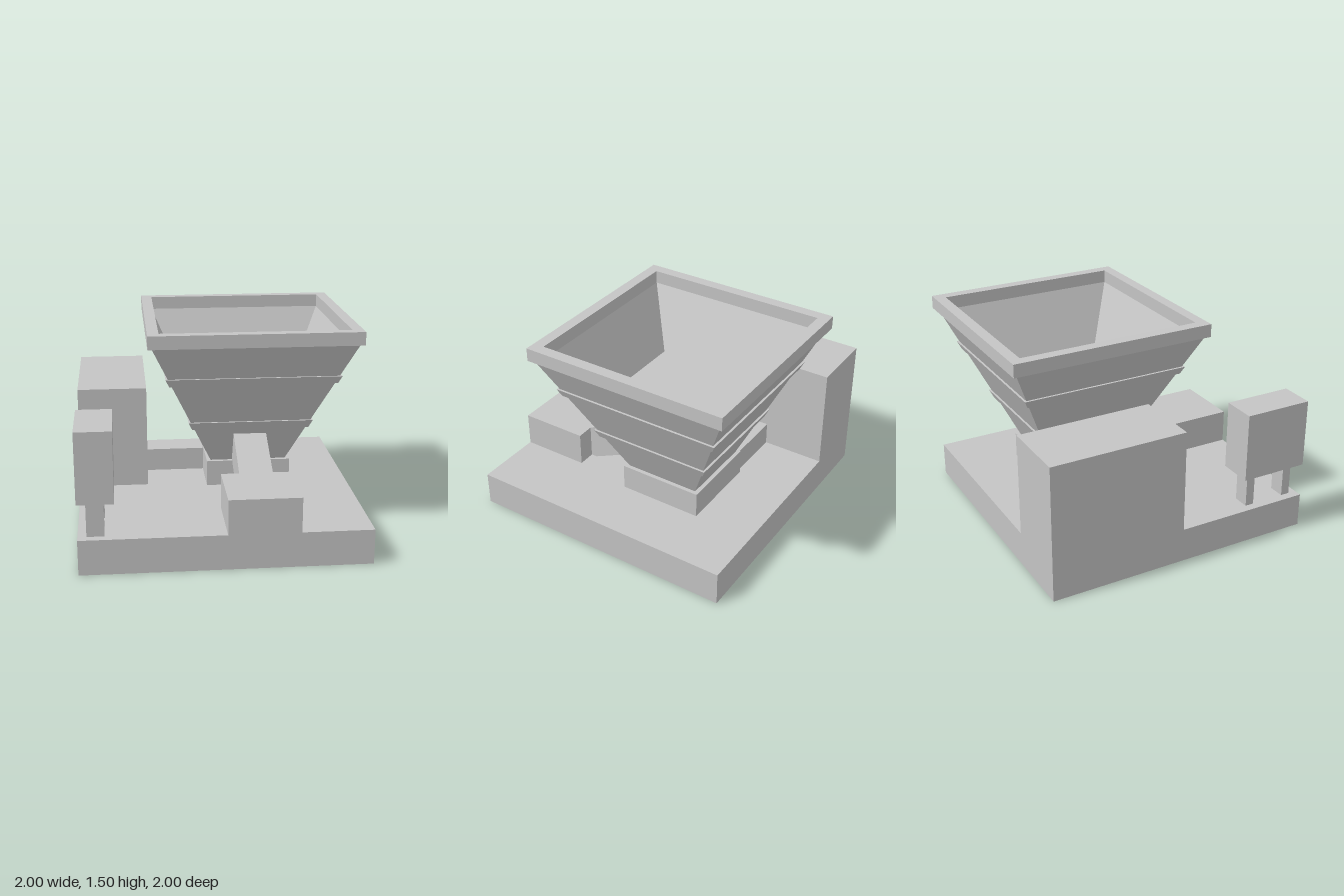
import * as THREE from 'three';

export function createModel() {
  const model = new THREE.Group();
  model.name = 'hopperPlant';
  const grey = new THREE.MeshStandardMaterial({ color: 0xc4c4c4 });
  grey.name = 'concreteGrey';

  function add(name, geometry, parent = model) {
    const mesh = new THREE.Mesh(geometry, grey);
    mesh.name = name;
    parent.add(mesh);
    return mesh;
  }

  // Box given by its lower and upper corners
  function box(name, [x0, y0, z0], [x1, y1, z1], parent) {
    const geometry = new THREE.BoxGeometry(x1 - x0, y1 - y0, z1 - z0);
    geometry.translate((x0 + x1) / 2, (y0 + y1) / 2, (z0 + z1) / 2);
    return add(name, geometry, parent);
  }

  // Square turned form: profile of [half width, height], flat faces
  function square(name, profile, parent) {
    const points = profile.map(([h, y]) => new THREE.Vector2(h * Math.SQRT2, y));
    const geometry = new THREE.LatheGeometry(points, 4, Math.PI / 4).toNonIndexed();
    geometry.computeVertexNormals();
    return add(name, geometry, parent);
  }

  // Ground slab and the solid blocks on it
  box('baseSlab', [-1, 0, -1], [1, 0.25, 1]);
  box('tower', [-1, 0.25, -1], [-0.5, 1, 0]);
  box('outletBlock', [0, 0.25, 0.5], [0.5, 0.5, 1]);
  box('pedestal', [-0.06, 0.25, -0.56], [0.56, 0.44, 0.06]);
  box('connectingDuct', [-0.5, 0.25, -0.54], [-0.06, 0.42, -0.31]);

  // Cabinet on two legs
  const cabinet = new THREE.Group();
  cabinet.name = 'cabinet';
  model.add(cabinet);
  box('cabinetBody', [-1, 0.5, 0.5], [-0.75, 1, 1], cabinet);
  for (const z of [0.56, 0.875]) {
    box('cabinetLeg', [-0.94, 0.25, z], [-0.82, 0.5, z + 0.065], cabinet);
  }

  // Hopper: tapered walls, two bands and a square rim
  const hopper = new THREE.Group();
  hopper.name = 'hopper';
  hopper.position.set(0.25, 0, -0.25);
  model.add(hopper);
  const wall = (y) => 0.28 + (y - 0.44) * 0.458;
  square('hopperWalls', [[0, 0.44], [wall(0.44), 0.44], [wall(1.405), 1.405]], hopper);
  square('hopperInside', [[0.67, 1.405], [0.47, 0.965], [0, 0.965]], hopper);
  for (const [y0, y1] of [[0.725, 0.785], [1.1, 1.157]]) {
    square('hopperBand', [
      [wall(y0), y0], [wall(y0) + 0.016, y0], [wall(y1) + 0.016, y1], [wall(y1), y1],
    ], hopper);
  }
  square('hopperRim', [
    [0.67, 1.405], [0.75, 1.405], [0.75, 1.5], [0.67, 1.5], [0.67, 1.405],
  ], hopper);

  // Sloping chute from the hopper down to the outlet block
  const side = new THREE.Shape([
    [0.5, 0.25], [0.5, 0.5], [0.02, 0.733], [0.02, 0.452], [0.455, 0.25],
  ].map(([z, y]) => new THREE.Vector2(-z, y)));
  const chute = new THREE.ExtrudeGeometry(side, { depth: 0.24, bevelEnabled: false });
  chute.rotateY(Math.PI / 2);
  chute.translate(0.13, 0, 0);
  add('chute', chute);

  return model;
}
